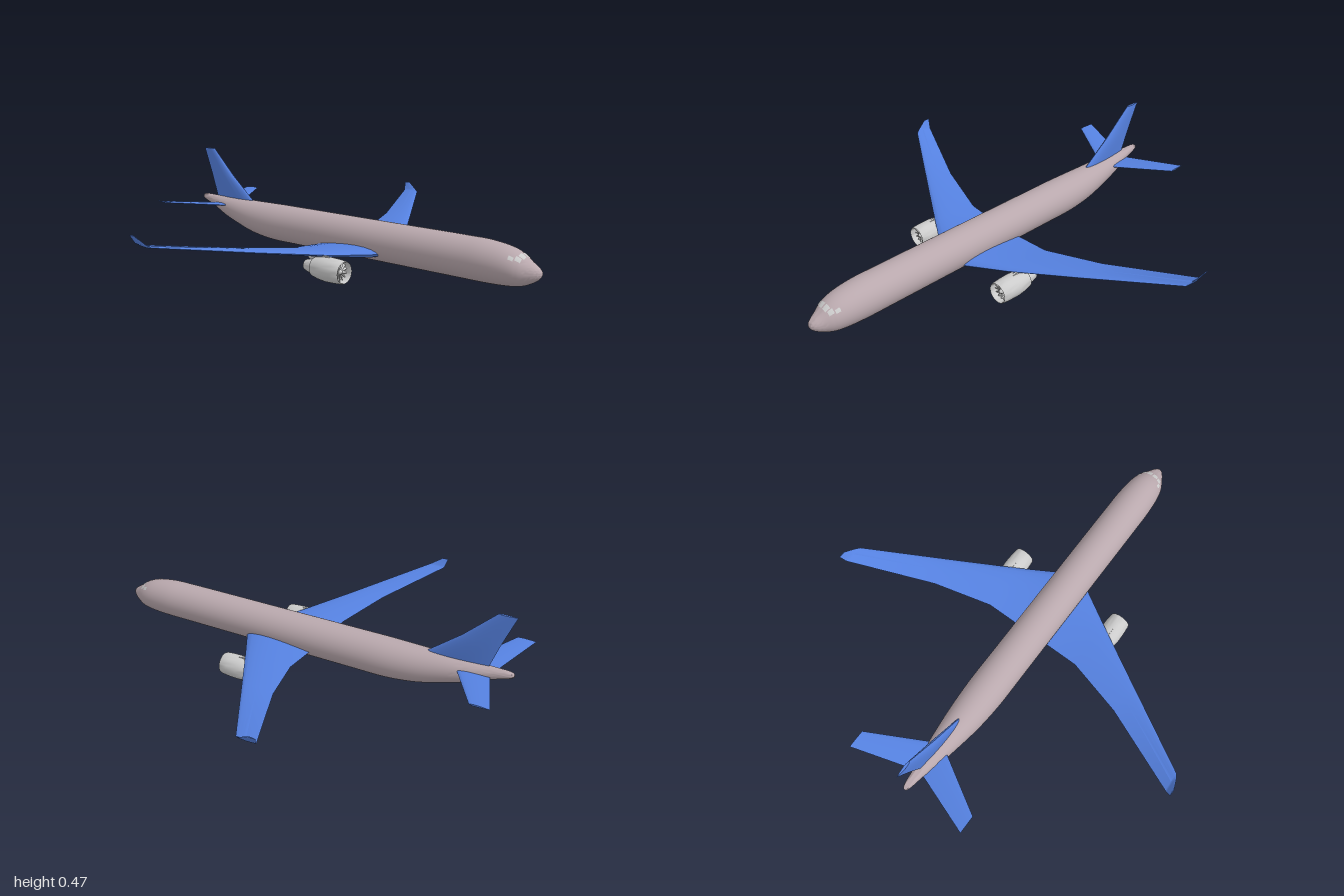
import * as THREE from 'three';
import { toCreasedNormals } from 'three/addons/utils/BufferGeometryUtils.js';

const V = (x, y, z) => new THREE.Vector3(x, y, z);
const body = new THREE.MeshStandardMaterial({ color: 0xb9a8ad });
const blue = new THREE.MeshStandardMaterial({ color: 0x5581e0 });
const grey = new THREE.MeshStandardMaterial({ color: 0xcccccc, side: THREE.DoubleSide });

function add(parent, name, geometry, material) {
  const mesh = new THREE.Mesh(geometry, material);
  mesh.name = name;
  parent.add(mesh);
  return mesh;
}

// Closed skin over a list of equal-sized rings, capped at both ends and turned to face outward
function loft(rings, crease) {
  const n = rings[0].length, pts = rings.flat(), tris = [];
  for (let r = 0; r < rings.length - 1; r++) {
    for (let i = 0; i < n; i++) {
      const a = r * n + i, b = r * n + (i + 1) % n;
      tris.push([a, b, a + n], [b, b + n, a + n]);
    }
  }
  const last = (rings.length - 1) * n;
  for (let i = 1; i < n - 1; i++) {
    tris.push([0, i + 1, i], [last, last + i, last + i + 1]);
  }
  let volume = 0;
  for (const [a, b, c] of tris) volume += pts[a].dot(pts[b].clone().cross(pts[c]));
  if (volume < 0) tris.forEach(t => t.reverse());
  const g = new THREE.BufferGeometry().setFromPoints(pts);
  g.setIndex(tris.flat());
  g.computeVertexNormals();
  return toCreasedNormals(g, crease);
}

// Airfoil ring from leading to trailing edge and back, thickened along dir
function airfoil({ le, te, t, dir }) {
  const n = 10, ring = [];
  for (let i = 0; i < 2 * n; i++) {
    const a = i / n * Math.PI;
    const u = (1 - Math.cos(a)) / 2;
    const h = 0.5 * t * 2.6 * Math.sqrt(u) * (1 - u) * Math.sign(Math.sin(a));
    ring.push(le.clone().lerp(te, u).addScaledVector(dir, i % n ? h : 0));
  }
  return ring;
}

// Fuselage centre line: x, height of centre, radius
const spine = new THREE.CatmullRomCurve3([
  [-1, 0.212, 0.006], [-0.99, 0.212, 0.013], [-0.9, 0.198, 0.029], [-0.8, 0.178, 0.05],
  [-0.72, 0.166, 0.063], [-0.6, 0.149, 0.079], [-0.5, 0.142, 0.087], [-0.42, 0.14, 0.09],
  [-0.3, 0.14, 0.09], [0.2, 0.14, 0.09], [0.65, 0.14, 0.09], [0.76, 0.139, 0.089],
  [0.86, 0.134, 0.08], [0.91, 0.128, 0.067], [0.95, 0.122, 0.046],
  [0.98, 0.122, 0.028], [0.995, 0.124, 0.014], [1, 0.125, 0.002],
].map(p => V(...p)));

// Point on the fuselage skin at x and angle a from the top
function skin(x, a, lift = 0) {
  let lo = 0, hi = 1;
  for (let i = 0; i < 24; i++) {
    const mid = (lo + hi) / 2;
    if (spine.getPoint(mid).x < x) lo = mid; else hi = mid;
  }
  const p = spine.getPoint(lo), r = p.z + lift;
  return V(x, p.y + r * Math.cos(a), r * Math.sin(a));
}

function fuselage() {
  const rings = [];
  for (let i = 0; i <= 85; i++) {
    const p = spine.getPoint(i / 85), ring = [];
    for (let k = 0; k < 40; k++) {
      const a = k / 40 * Math.PI * 2;
      ring.push(V(p.x, p.y + p.z * Math.cos(a), p.z * Math.sin(a)));
    }
    rings.push(ring);
  }
  return loft(rings, 1.2);
}

// Small pane bent to the nose, between two angles and two stations
function pane(x0, x1, a0, a1) {
  const g = new THREE.PlaneGeometry(1, 1, 5, 5), p = g.attributes.position;
  for (let i = 0; i < p.count; i++) {
    const u = p.getX(i) + 0.5, v = p.getY(i) + 0.5;
    const q = skin(x0 + (x1 - x0) * u, a0 + (a1 - a0) * v, 0.0015);
    p.setXYZ(i, q.x, q.y, q.z);
  }
  g.computeVertexNormals();
  return g;
}

function wing(s) {
  const up = V(0, 1, 0);
  const part = (lx, tx, y, z, t) => ({ le: V(lx, y, s * z), te: V(tx, y, s * z), t, dir: up });
  return loft([
    part(0.305, -0.08, 0.1, 0, 0.055),
    part(0.25, -0.082, 0.1, 0.09, 0.048),
    part(0.152, -0.085, 0.11, 0.25, 0.028),
    part(-0.012, -0.165, 0.145, 0.52, 0.018),
    part(-0.245, -0.335, 0.2, 0.903, 0.009),
    // upturned tip
    { le: V(-0.265, 0.21, s * 0.914), te: V(-0.34, 0.207, s * 0.912), t: 0.007, dir: V(0, 0.6, -0.8 * s) },
    { le: V(-0.318, 0.243, s * 0.931), te: V(-0.35, 0.243, s * 0.931), t: 0.004, dir: V(0, 0.4, -0.9 * s) },
  ].map(airfoil), 0.6);
}

function tailplane(s) {
  const up = V(0, 1, 0);
  return loft([
    { le: V(-0.745, 0.187, 0), te: V(-0.9, 0.187, 0), t: 0.016, dir: up },
    { le: V(-0.915, 0.224, s * 0.308), te: V(-1, 0.224, s * 0.308), t: 0.007, dir: up },
  ].map(airfoil), 0.6);
}

function fin() {
  const part = (lx, tx, y, t) => ({ le: V(lx, y, 0), te: V(tx, y, 0), t, dir: V(0, 0, 1) });
  return loft([
    part(-0.58, -0.88, 0.2, 0.022),
    part(-0.625, -0.893, 0.232, 0.028),
    part(-0.765, -0.932, 0.342, 0.03),
    part(-0.905, -0.985, 0.473, 0.012),
  ].map(airfoil), 0.6);
}

// Lathe turned to run along x from [x, radius] pairs
function turned(profile) {
  const g = new THREE.LatheGeometry(profile.map(([x, r]) => new THREE.Vector2(r, x)), 32);
  g.rotateZ(-Math.PI / 2);
  return toCreasedNormals(g, 0.6);
}

function engine(s) {
  const group = new THREE.Group();
  group.name = s > 0 ? 'leftEngine' : 'rightEngine';
  group.position.set(0, 0.056, s * 0.287);
  add(group, 'nacelle', turned([
    [0.075, 0.034], [0.077, 0.043], [0.11, 0.05], [0.15, 0.054], [0.2, 0.053], [0.235, 0.05],
    [0.242, 0.047], [0.238, 0.044], [0.22, 0.043], [0.205, 0.043], [0.205, 0],
  ]), grey);
  add(group, 'exhaust', turned([
    [0.018, 0], [0.03, 0.012], [0.032, 0.022], [0.024, 0.024], [0.05, 0.031], [0.09, 0.035],
  ]), grey);
  add(group, 'spinner', turned([[0.205, 0.014], [0.222, 0.01], [0.234, 0]]), grey);
  // fan blades
  for (let i = 0; i < 14; i++) {
    const g = new THREE.BoxGeometry(0.012, 0.034, 0.0025);
    g.rotateY(0.7);
    g.translate(0.213, 0.026, 0);
    g.rotateX(i / 14 * Math.PI * 2);
    add(group, 'fanBlade', g, grey);
  }
  // pylon up to the wing
  const shape = new THREE.Shape([[0.02, 0.052], [0.05, 0.03], [0.16, 0.045], [0.19, 0.05], [0.12, 0.06]]
    .map(p => new THREE.Vector2(...p)));
  const pylon = new THREE.ExtrudeGeometry(shape, { depth: 0.01, bevelEnabled: false });
  pylon.translate(0, 0, -0.005);
  add(group, 'pylon', pylon, grey);
  return group;
}

export function createModel() {
  const model = new THREE.Group();
  model.name = 'airliner';
  add(model, 'fuselage', fuselage(), body);
  add(model, 'tailFin', fin(), blue);
  for (const s of [1, -1]) {
    const side = s > 0 ? 'left' : 'right';
    add(model, side + 'Wing', wing(s), blue);
    add(model, side + 'Tailplane', tailplane(s), blue);
    model.add(engine(s));
    // cockpit windows
    add(model, side + 'FrontWindow', pane(0.91, 0.932, s * 0.06, s * 0.45), grey);
    add(model, side + 'CornerWindow', pane(0.905, 0.926, s * 0.52, s * 0.85), grey);
    add(model, side + 'SideWindow', pane(0.88, 0.9, s * 0.72, s * 0.95), grey);
  }
  return model;
}
